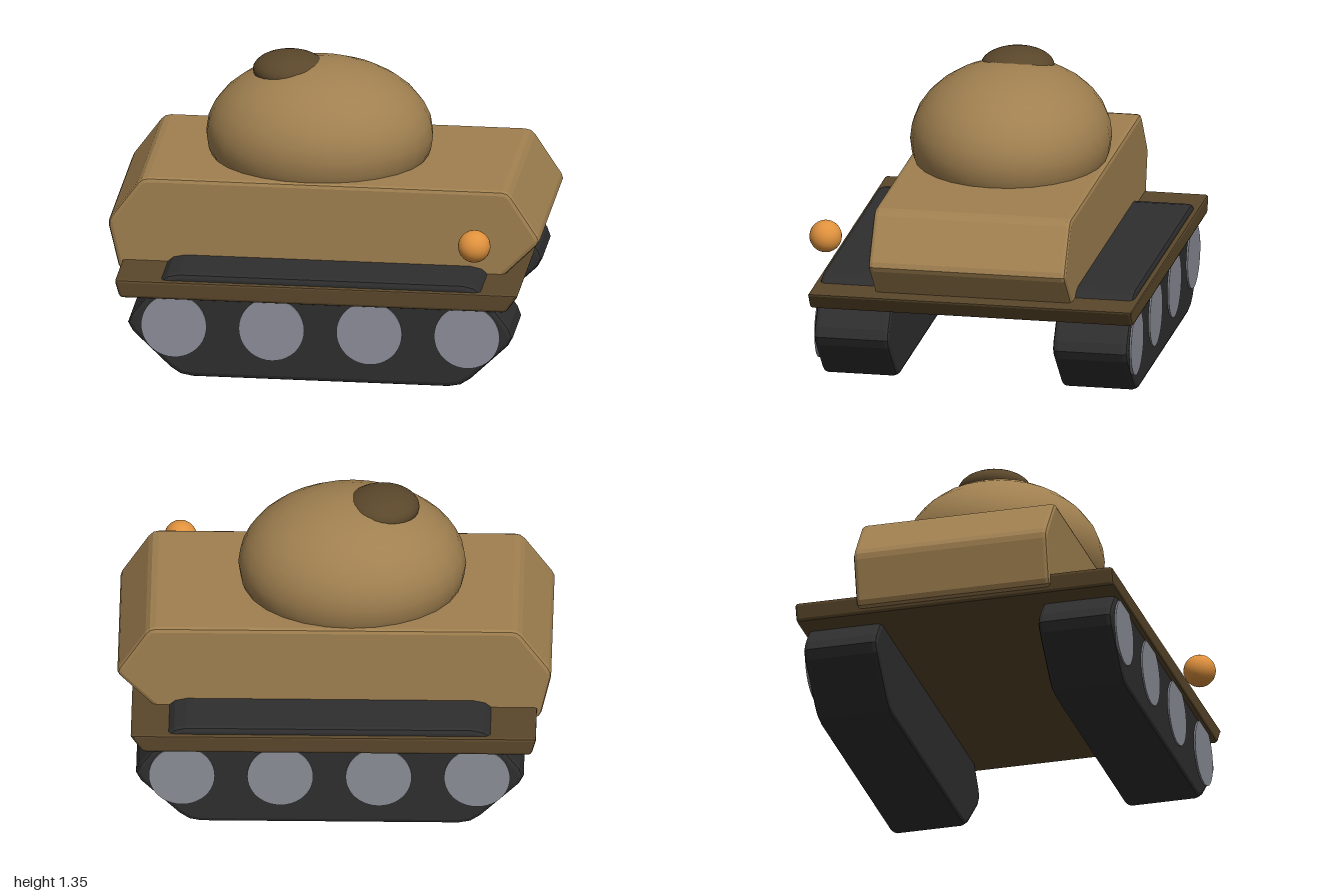
import * as THREE from 'three';

const mat = (name, color) => {
  const m = new THREE.MeshStandardMaterial({ color });
  m.name = name;
  return m;
};

// Polygon outline with each corner softened by a short curve of radius r
function softShape(points, r) {
  const v = points.map(([x, y]) => new THREE.Vector2(x, y));
  const shape = new THREE.Shape();
  v.forEach((p, i) => {
    const prev = v[(i + v.length - 1) % v.length];
    const next = v[(i + 1) % v.length];
    const a = p.clone().add(prev.clone().sub(p).setLength(r));
    const b = p.clone().add(next.clone().sub(p).setLength(r));
    if (i === 0) shape.moveTo(a.x, a.y);
    else shape.lineTo(a.x, a.y);
    shape.quadraticCurveTo(p.x, p.y, b.x, b.y);
  });
  shape.closePath();
  return shape;
}

// Side outline pushed out along z, bevelled inwards and centred on z = 0
function slab(points, width, bevel, round) {
  const geo = new THREE.ExtrudeGeometry(softShape(points, round), {
    depth: width - 2 * bevel,
    bevelEnabled: true,
    bevelSize: bevel,
    bevelThickness: bevel,
    bevelOffset: -bevel,
    bevelSegments: 2,
    curveSegments: 2,
  });
  return geo.translate(0, 0, bevel - width / 2);
}

export function createModel() {
  const tan = mat('tan paint', 0xa08050);
  const brown = mat('dark brown paint', 0x5a472b);
  const rubber = mat('track black', 0x2e2e2e);
  const steel = mat('wheel grey', 0x8c8e98);
  const amber = mat('lamp orange', 0xe0923e);

  const model = new THREE.Group();
  model.name = 'tank';
  const body = new THREE.Group();
  body.name = 'body';
  body.position.z = -0.016;
  model.add(body);

  const add = (parent, name, geo, material, x = 0, y = 0, z = 0) => {
    const mesh = new THREE.Mesh(geo, material);
    mesh.name = name;
    mesh.position.set(x, y, z);
    parent.add(mesh);
    return mesh;
  };

  // Hull with wedge-shaped ends
  add(body, 'hull', slab([
    [-0.95, 0.405], [0.78, 0.405], [1.005, 0.63], [0.85, 0.866], [-0.85, 0.866], [-1.008, 0.65],
  ], 0.925, 0.02, 0.03), tan);

  // Wide plate over the tracks
  add(body, 'fender', slab([
    [-0.915, 0.38], [0.875, 0.38], [0.935, 0.466], [-0.94, 0.466],
  ], 1.518, 0.014, 0.015), brown);

  // Domed turret and its hatch
  const turret = add(body, 'turret', new THREE.SphereGeometry(1, 28, 16), tan, -0.078, 0.965, 0);
  turret.scale.set(0.525, 0.348, 0.463);
  const hatch = add(body, 'hatch', new THREE.SphereGeometry(1, 28, 16), brown, -0.218, 1.265, -0.003);
  hatch.scale.set(0.17, 0.081, 0.17);

  // Tracks, each with a row of four road wheels on the outer face
  const trackGeo = slab([
    [-0.64, 0], [0.665, 0], [0.925, 0.25], [0.735, 0.5], [-0.705, 0.5], [-0.9, 0.25],
  ], 0.352, 0.022, 0.06);
  const wheelGeo = new THREE.CylinderGeometry(0.152, 0.152, 0.04, 40).rotateX(Math.PI / 2);
  for (const side of [1, -1]) {
    const unit = new THREE.Group();
    unit.name = side > 0 ? 'frontTrackUnit' : 'backTrackUnit';
    body.add(unit);
    add(unit, 'track', trackGeo, rubber, 0, 0, side * 0.56);
    for (let i = 0; i < 4; i++) {
      add(unit, 'roadWheel', wheelGeo, steel, -0.665 + i * 0.453, 0.25, side * 0.723);
    }
  }

  // Single round lamp
  add(model, 'lamp', new THREE.SphereGeometry(0.075, 24, 16), amber, 0.725, 0.685, 0.697);

  return model;
}
